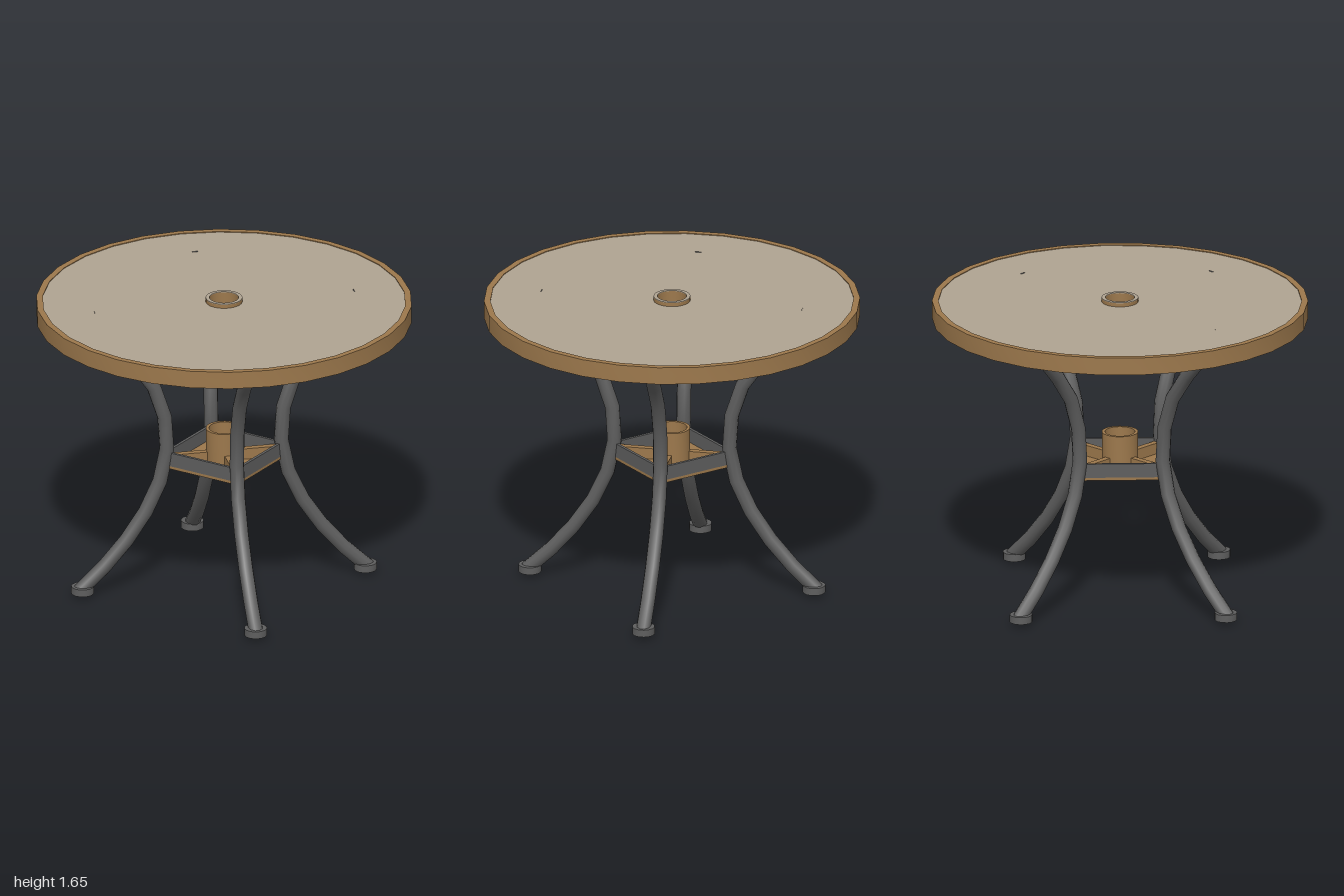
import * as THREE from 'three';
import { toCreasedNormals } from 'three/addons/utils/BufferGeometryUtils.js';

const material = (name, color) => {
  const m = new THREE.MeshStandardMaterial({ color });
  m.name = name;
  return m;
};

// Hollow ring with a rectangular section
function ringGeometry(inner, outer, y0, y1, sides) {
  const profile = [[inner, y0], [outer, y0], [outer, y1], [inner, y1], [inner, y0]]
    .map(([r, y]) => new THREE.Vector2(r, y));
  return toCreasedNormals(new THREE.LatheGeometry(profile, sides), 0.6);
}

export function createModel() {
  const model = new THREE.Group();
  model.name = 'roundTable';
  const wood = material('tan', 0x9c784c);
  const metal = material('dark grey', 0x5e5e5e);
  const panel = material('stone beige', 0xafa391);

  const add = (parent, name, geometry, mat, x = 0, y = 0, z = 0) => {
    const mesh = new THREE.Mesh(geometry, mat);
    mesh.name = name;
    mesh.position.set(x, y, z);
    parent.add(mesh);
    return mesh;
  };

  // Table top: inset panel inside a rim, with a flanged centre hole
  const top = new THREE.Group();
  top.name = 'tableTop';
  top.rotation.y = THREE.MathUtils.degToRad(4);
  model.add(top);
  add(top, 'rim', ringGeometry(0.966, 1, 1.515, 1.61, 30), wood);
  add(top, 'topPanel', ringGeometry(0.085, 0.97, 1.52, 1.606, 30), panel);
  add(top, 'holeSleeve', ringGeometry(0.078, 0.09, 1.49, 1.625, 24), wood);
  add(top, 'upperFlange', ringGeometry(0.078, 0.098, 1.6, 1.626, 24), wood);
  add(top, 'flangeCap', ringGeometry(0.078, 0.098, 1.626, 1.63, 24), panel);
  add(top, 'lowerFlange', ringGeometry(0.078, 0.098, 1.498, 1.53, 24), wood);

  // Base, turned slightly against the axes
  const base = new THREE.Group();
  base.name = 'base';
  base.rotation.y = THREE.MathUtils.degToRad(3);
  model.add(base);

  // Square tray with its corners at the legs
  const halfDiagonal = 0.325;
  const side = halfDiagonal * Math.SQRT2;
  const floor = add(base, 'trayFloor', new THREE.BoxGeometry(side, 0.016, side), wood, 0, 0.688, 0);
  floor.rotation.y = Math.PI / 4;
  add(base, 'poleSocket', ringGeometry(0.08, 0.097, 0.69, 0.88, 24), wood);
  add(base, 'ribAcross', new THREE.BoxGeometry(0.6, 0.06, 0.035), wood, 0, 0.725, 0);
  add(base, 'ribAlong', new THREE.BoxGeometry(0.035, 0.06, 0.6), wood, 0, 0.725, 0);

  // Curved leg, running from foot to table top
  const path = new THREE.CatmullRomCurve3([
    [0.79, 0.01], [0.755, 0.04], [0.58, 0.22], [0.425, 0.44], [0.335, 0.65], [0.31, 0.83],
    [0.335, 1.02], [0.41, 1.2], [0.56, 1.38], [0.67, 1.51], [0.735, 1.585],
  ].map(([r, y]) => new THREE.Vector3(r, y, 0)));
  const legGeometry = new THREE.TubeGeometry(path, 10, 0.039, 10);
  const footGeometry = toCreasedNormals(new THREE.CylinderGeometry(0.061, 0.061, 0.04, 14), 0.6);
  const barGeometry = new THREE.BoxGeometry(side, 0.076, 0.016);

  for (let i = 0; i < 4; i++) {
    const quarter = new THREE.Group();
    quarter.name = 'legAssembly' + (i + 1);
    quarter.rotation.y = i * Math.PI / 2;
    base.add(quarter);
    add(quarter, 'leg', legGeometry, metal);
    add(quarter, 'foot', footGeometry, metal, 0.77, 0.02, 0);

    // Metal bar along one tray side
    const d = halfDiagonal / 2 - 0.005;
    const bar = add(quarter, 'trayBar', barGeometry, metal, d, 0.734, d);
    bar.rotation.y = Math.PI / 4;
  }
  return model;
}
